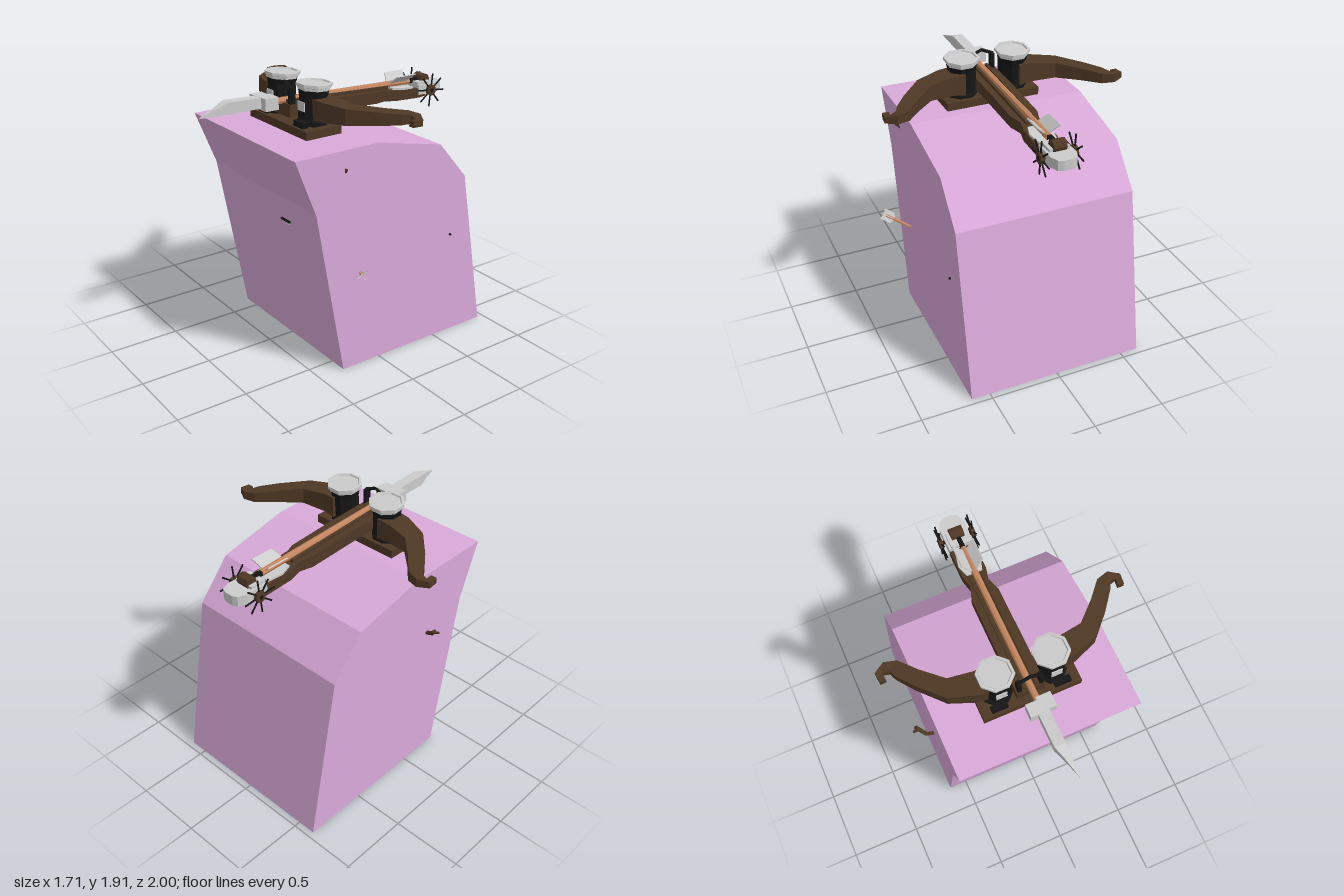
import * as THREE from 'three';

const mat = (color) => new THREE.MeshStandardMaterial({ color, flatShading: true, side: THREE.DoubleSide });
const GREY = mat(0xcccccc), PINK = mat(0xd9a9d9), WOOD = mat(0x4f3825), DARK = mat(0x161616), COPPER = mat(0xc4855f);

function add(parent, name, geo, material, x = 0, y = 0, z = 0) {
  const m = new THREE.Mesh(geo, material);
  m.name = name;
  m.position.set(x, y, z);
  parent.add(m);
  return m;
}

const box = (w, h, d) => new THREE.BoxGeometry(w, h, d);

// Skin over rings of corners, closed at both ends
function loft(rings) {
  const n = rings[0].length, pos = [];
  const tri = (a, b, c) => pos.push(...a, ...b, ...c);
  for (let i = 0; i < rings.length - 1; i++) {
    for (let j = 0; j < n; j++) {
      const k = (j + 1) % n, r = rings[i], s = rings[i + 1];
      tri(r[j], r[k], s[k]);
      tri(r[j], s[k], s[j]);
    }
  }
  const first = rings[0], last = rings[rings.length - 1];
  for (let j = 1; j < n - 1; j++) {
    tri(first[0], first[j + 1], first[j]);
    tri(last[0], last[j], last[j + 1]);
  }
  const g = new THREE.BufferGeometry();
  g.setAttribute('position', new THREE.Float32BufferAttribute(pos, 3));
  g.computeVertexNormals();
  return g;
}

// Rectangular sections [z, x0, x1, y0, y1] running towards +z
const beam = (sections) => loft(sections.map(([z, x0, x1, y0, y1]) =>
  [[x0, y0, z], [x1, y0, z], [x1, y1, z], [x0, y1, z]]));

function extrude(points, depth) {
  const s = new THREE.Shape(points.map(([a, b]) => new THREE.Vector2(a, b)));
  return new THREE.ExtrudeGeometry(s, { depth, bevelEnabled: false }).translate(0, 0, -depth / 2);
}
// Profile in (z, y), width along x
const sideExtrude = (points, width) => extrude(points, width).rotateY(-Math.PI / 2);

// Rod between two points
function rod(parent, name, a, b, r, material, sides = 6) {
  const p = new THREE.Vector3(...a), q = new THREE.Vector3(...b);
  const m = add(parent, name, new THREE.CylinderGeometry(r, r, p.distanceTo(q), sides), material);
  m.position.copy(p).add(q).multiplyScalar(0.5);
  m.quaternion.setFromUnitVectors(new THREE.Vector3(0, 1, 0), q.sub(p).normalize());
  return m;
}

function makeTower(side) {
  const g = new THREE.Group();
  g.name = 'tower';
  const lathe = (pts) => new THREE.LatheGeometry(pts.map(([r, y]) => new THREE.Vector2(r, y)), 8).rotateY(Math.PI / 8);
  add(g, 'towerBody', lathe([[0, 0], [0.108, 0], [0.108, 0.035], [0.098, 0.05], [0.098, 0.2], [0.108, 0.25], [0, 0.25]]), DARK);
  add(g, 'towerCap', lathe([[0, 0.24], [0.11, 0.24], [0.112, 0.258], [0.124, 0.262], [0.124, 0.282], [0.105, 0.284], [0.1, 0.274], [0, 0.274]]), GREY);
  add(g, 'towerPlate', box(0.075, 0.06, 0.02), GREY, 0, 0.13, 0.088);
  add(g, 'towerFoot', box(0.11, 0.04, 0.04), DARK, side * 0.03, 0.02, 0.115);
  g.position.set(side * 0.188, 1.625, 0.245);
  g.rotation.x = -0.06;
  return g;
}

function makeLimb(side) {
  // Each section: outer x, z, inner x, z, bottom, top
  const rings = [
    [0.2, 0.3, 0.2, 0.125, 1.67, 1.82],
    [0.335, 0.285, 0.29, 0.13, 1.68, 1.815],
    [0.51, 0.22, 0.46, 0.1, 1.69, 1.8],
    [0.66, 0.06, 0.595, -0.03, 1.698, 1.785],
    [0.745, -0.05, 0.695, -0.145, 1.705, 1.775],
    [0.768, -0.1, 0.78, -0.172, 1.71, 1.768],
    [0.81, -0.11, 0.855, -0.13, 1.712, 1.755],
    [0.805, -0.06, 0.848, -0.058, 1.712, 1.752],
  ].map(([ox, oz, ix, iz, y0, y1]) => [[ox, y0, oz], [ix, y0, iz], [ix, y1, iz], [ox, y1, oz]]);
  const m = new THREE.Mesh(loft(rings), WOOD);
  m.name = 'bowLimb';
  m.scale.x = side;
  return m;
}

function makeWheel(side) {
  const g = new THREE.Group();
  g.name = 'spokedWheel';
  add(g, 'hub', new THREE.CylinderGeometry(0.04, 0.04, 0.025, 8).rotateZ(Math.PI / 2), WOOD);
  for (let i = 0; i < 8; i++) {
    const a = (i / 8) * Math.PI * 2 + 0.1;
    rod(g, 'spoke', [0, 0, 0], [0, Math.sin(a) * 0.12, Math.cos(a) * 0.12], 0.006, DARK, 5);
  }
  g.position.set(side * 0.115, 1.665, -0.85);
  return g;
}

function makeBolt() {
  const g = new THREE.Group();
  g.name = 'bolt';
  rod(g, 'boltShaft', [0, 1.768, 0.56], [0, 1.725, -0.73], 0.023, COPPER, 8);
  // Blade with its point on one side
  add(g, 'boltBlade', beam([[0.53, -0.04, 0.035, 1.745, 1.815], [0.78, -0.04, 0.035, 1.745, 1.825],
    [0.86, -0.01, 0.035, 1.749, 1.8], [0.995, 0.032, 0.035, 1.754, 1.757]]), GREY);
  add(g, 'headCollar', box(0.1, 0.085, 0.09), GREY, -0.04, 1.775, 0.505);
  add(g, 'headCollar', box(0.1, 0.085, 0.1), GREY, 0.038, 1.775, 0.49);
  for (const a of [0.85, -0.85, Math.PI]) {
    const len = a === Math.PI ? 0.4 : 1;
    const fin = add(g, 'fletching', sideExtrude([[-0.53, 0], [-0.57, 0.1 * len], [-0.735, 0.1 * len], [-0.7, 0]], 0.008), GREY, 0, 1.728, 0);
    fin.rotation.z = a;
  }
  return g;
}

// Short arrow stuck in the side, built along +y and then turned
function makeArrow() {
  const g = new THREE.Group();
  g.name = 'stuckArrow';
  add(g, 'arrowShaft', new THREE.CylinderGeometry(0.012, 0.012, 0.25, 6), COPPER, 0, 0.075, 0);
  for (let i = 0; i < 4; i++) {
    add(g, 'arrowFletching', extrude([[0, 0.13], [0.04, 0.15], [0.04, 0.23], [0, 0.215]], 0.005), GREY).rotation.y = i * Math.PI / 2;
  }
  g.position.set(0.63, 0.69, 0.165);
  g.quaternion.setFromUnitVectors(new THREE.Vector3(0, 1, 0), new THREE.Vector3(0.17, 0.09, 0.12).normalize());
  return g;
}

function makeStub(name, points, r) {
  const g = new THREE.Group();
  g.name = name;
  for (let i = 0; i < points.length - 1; i++) rod(g, name + 'Segment', points[i], points[i + 1], r, WOOD);
  return g;
}

export function createModel() {
  const model = new THREE.Group();
  model.name = 'ballistaOnBlock';

  // Leaning block
  add(model, 'block', sideExtrude([[0.305, 0], [0.525, 1.19], [0.68, 1.578], [0.04, 1.578],
    [-0.495, 1.46], [-0.735, 1.185], [-0.955, 0]], 1.26), PINK);

  // Ballista frame
  add(model, 'basePlate', box(0.68, 0.06, 0.28), WOOD, 0, 1.605, 0.258);
  add(model, 'stock', beam([
    [-0.88, -0.06, 0.06, 1.615, 1.67], [-0.77, -0.085, 0.085, 1.615, 1.68], [-0.55, -0.085, 0.085, 1.625, 1.7],
    [-0.46, -0.065, 0.065, 1.632, 1.71], [-0.37, -0.095, 0.095, 1.638, 1.718],
    [0, -0.097, 0.097, 1.655, 1.738], [0.36, -0.097, 0.097, 1.665, 1.75]]), WOOD);
  for (const side of [1, -1]) {
    model.add(makeTower(side), makeLimb(side), makeWheel(side));
    add(model, 'stockRail', box(0.02, 0.02, 0.85), WOOD, side * 0.04, 1.743, -0.08).rotation.x = -0.05;
    // Guide arch above the bolt
    rod(model, 'guideArch', [side * 0.085, 1.85, 0.33], [0, 1.888, 0.33], 0.012, DARK, 4);
    add(model, 'guidePost', box(0.025, 0.13, 0.045), DARK, side * 0.075, 1.79, 0.33);
  }

  // Rear end: plate, rounded butt and windlass
  add(model, 'rearPlate', beam([[-0.73, -0.06, 0.06, 1.64, 1.695], [-0.62, -0.08, 0.08, 1.65, 1.708],
    [-0.54, -0.055, 0.055, 1.655, 1.715]]), GREY);
  add(model, 'butt', extrude([[-0.085, -0.76], [0.085, -0.76], [0.088, -0.93], [0.065, -0.985],
    [0.03, -1], [-0.03, -1], [-0.065, -0.985], [-0.088, -0.93]], 0.07).rotateX(Math.PI / 2), GREY, 0, 1.67, 0);
  add(model, 'buttBlock', box(0.14, 0.11, 0.115), GREY, 0, 1.67, -0.818);
  add(model, 'windlass', new THREE.CylinderGeometry(0.042, 0.042, 0.09, 8).rotateZ(Math.PI / 2), WOOD, 0, 1.73, -0.85);
  rod(model, 'axle', [-0.13, 1.665, -0.85], [0.13, 1.665, -0.85], 0.015, DARK);
  add(model, 'trigger', box(0.03, 0.03, 0.12), DARK, 0, 1.725, -0.76);
  model.add(makeBolt());

  // Arrow and broken stubs stuck in the block
  model.add(makeArrow());
  const hook = makeStub('brokenArrow', [[-0.6, 1.07, 0.175], [-0.68, 1.105, 0.165], [-0.735, 1.18, 0.115]], 0.014);
  rod(hook, 'splinter', [-0.715, 1.15, 0.13], [-0.758, 1.168, 0.135], 0.01, WOOD, 5);
  model.add(hook);
  model.add(makeStub('splinterStub', [[0.62, 1.425, 0.295], [0.64, 1.45, 0.3], [0.658, 1.46, 0.318]], 0.009));
  add(model, 'peg', new THREE.CylinderGeometry(0.008, 0.008, 0.02, 6).rotateZ(Math.PI / 2), DARK, 0.632, 0.77, -0.62);
  add(model, 'frontSliver', box(0.105, 0.01, 0.02), DARK, 0.243, 1.022, 0.5);
  add(model, 'frontSliverTip', box(0.05, 0.025, 0.012), GREY, 0.25, 1.006, 0.488);

  return model;
}
